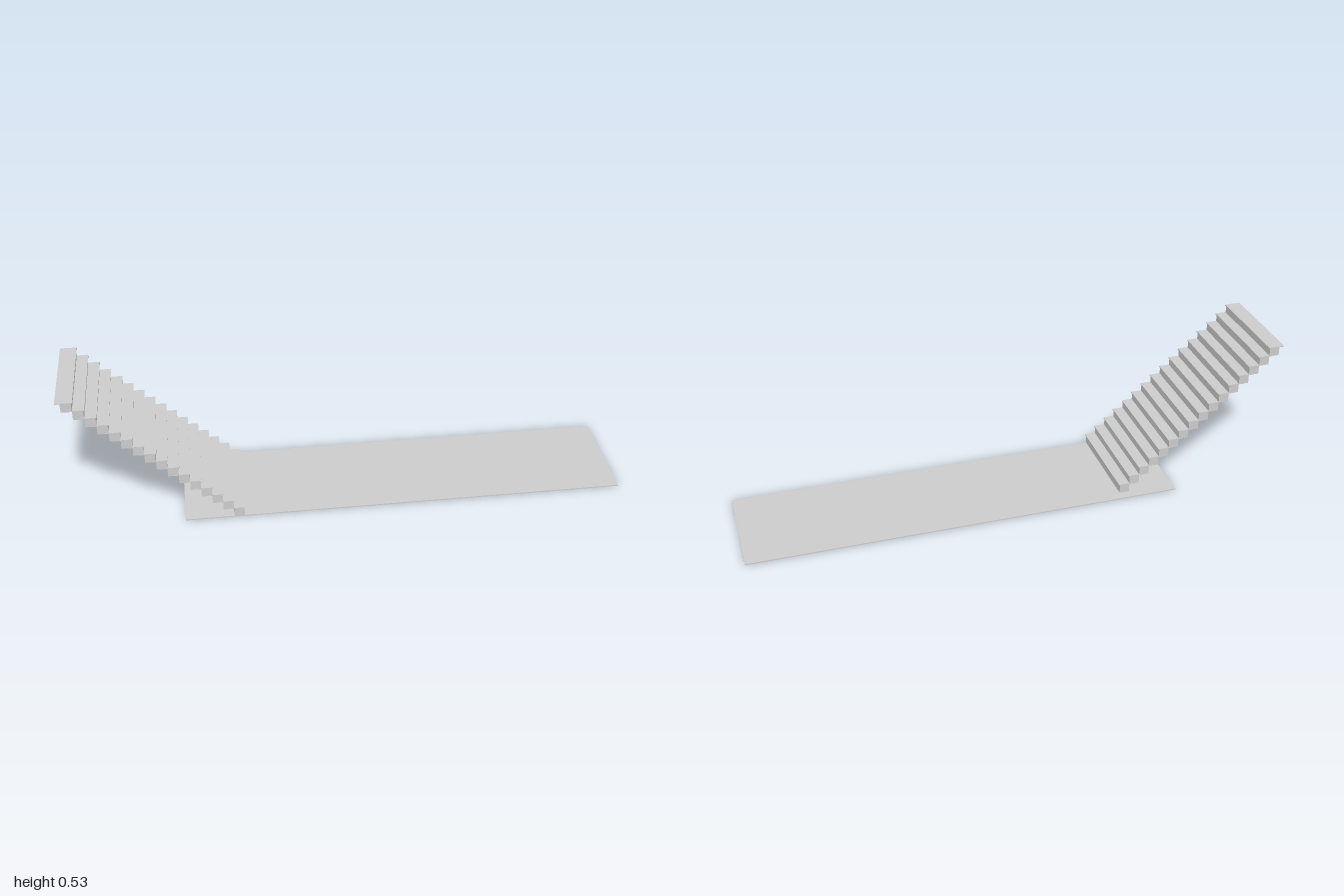
import * as THREE from 'three';

const material = new THREE.MeshStandardMaterial({ color: 0xcccccc, flatShading: true });

// Box given by its minimum and maximum corners
function block(name, [x0, y0, z0], [x1, y1, z1]) {
  const mesh = new THREE.Mesh(new THREE.BoxGeometry(x1 - x0, y1 - y0, z1 - z0), material);
  mesh.position.set((x0 + x1) / 2, (y0 + y1) / 2, (z0 + z1) / 2);
  mesh.name = name;
  return mesh;
}

export function createModel() {
  const model = new THREE.Group();
  model.name = 'staircaseWithFloor';

  // Thin floor slab
  model.add(block('floor', [-0.6, 0, -0.202], [1, 0.004, 0.198]));

  // Straight flight climbing towards -x
  const stairs = new THREE.Group();
  stairs.name = 'stairs';
  const count = 16, run = 0.0371, rise = 0.0326;
  const treadDepth = 0.059, treadThickness = 0.0032, nosing = 0.004;
  const back = -0.17, front = 0.202;

  for (let i = 0; i < count; i++) {
    const edge = -0.3845 - i * run;
    const top = 0.0412 + i * rise;
    const under = top - treadThickness;
    const step = new THREE.Group();
    step.name = `step${i + 1}`;
    // Thin tread overhanging a solid riser block
    step.add(
      block('tread', [edge - treadDepth, under, back], [edge, top, front]),
      block('riser', [edge - nosing - run, under - rise, back + 0.001], [edge - nosing, under, front - 0.001])
    );
    stairs.add(step);
  }
  model.add(stairs);
  return model;
}
